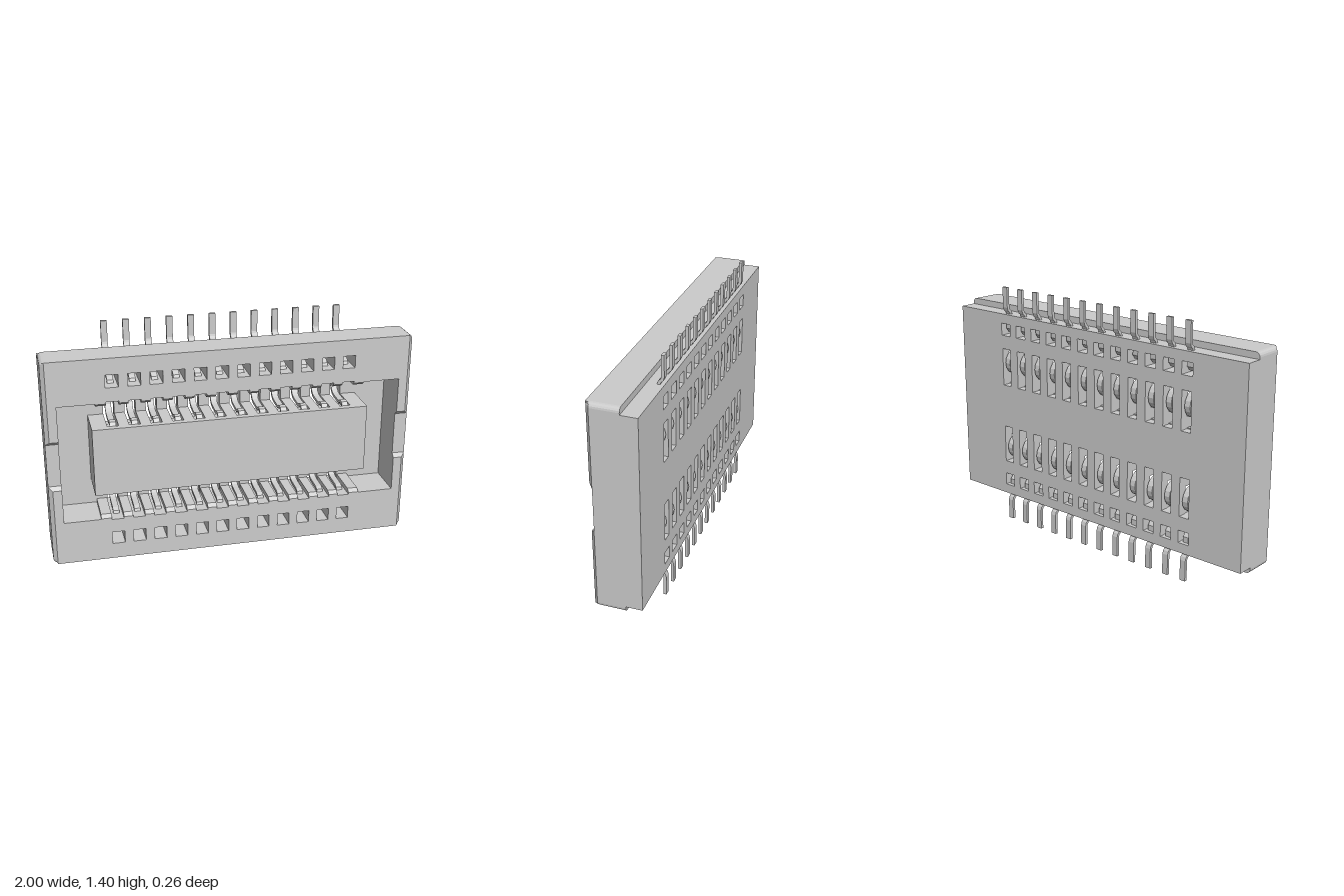
import * as THREE from 'three';

// Local frame: y is measured from the middle height of the connector.
const MID_Y = 0.7, COUNT = 12, PITCH = 0.1164, SLOT = 0.033;
const columns = Array.from({ length: COUNT }, (_, i) => (i - (COUNT - 1) / 2) * PITCH);
const material = new THREE.MeshStandardMaterial({ color: 0xcccccc });

const toShape = (pts) => new THREE.Shape(pts.map(([x, y]) => new THREE.Vector2(x, y)));
const rect = (x0, y0, x1, y1) => [[x0, y0], [x1, y0], [x1, y1], [x0, y1]];
const turned = (pts) => pts.map(([x, y]) => [-x, -y]);

// Upper cavity wall from left to right, with a slot for every contact
function combWall() {
  const pts = [[-0.93, 0.335], [-0.73, 0.335], [-0.73, 0.315]];
  for (const x of columns) {
    pts.push([x - SLOT, 0.315], [x - SLOT, 0.342], [x + SLOT, 0.342], [x + SLOT, 0.315]);
  }
  pts.push([0.73, 0.315], [0.73, 0.335], [0.93, 0.335]);
  return pts;
}

// Quarter-round corner points about (cx, cy)
function corner(cx, cy, r, start) {
  return [0, 1, 2, 3, 4].map((i) => {
    const a = start + (i / 4) * Math.PI / 2;
    return [cx + r * Math.cos(a), cy + r * Math.sin(a)];
  });
}

// Extrude a layer between two depths
function layer(name, outline, holes, z0, z1) {
  const shape = toShape(outline);
  holes.forEach((h) => shape.holes.push(toShape(h)));
  const geo = new THREE.ExtrudeGeometry(shape, { depth: z1 - z0, bevelEnabled: false });
  geo.translate(0, 0, z0);
  const mesh = new THREE.Mesh(geo, material);
  mesh.name = name;
  return mesh;
}

// Front rim half: slope the ends, the notch sides and the lip of the cavity
function chamferRim(geo, zFront) {
  const p = geo.attributes.position;
  for (let i = 0; i < p.count; i++) {
    if (p.getZ(i) < zFront - 1e-4) continue;
    const x = p.getX(i), y = p.getY(i);
    p.setX(i, Math.sign(x) * Math.min(Math.abs(x), 0.978));
    if (Math.abs(y - 0.12) < 1e-4) p.setY(i, 0.14);
    if (Math.abs(y - 0.315) < 1e-4) p.setY(i, 0.332);
  }
  geo.computeVertexNormals();
}

// Bent metal strip: a (z, y) centre line thickened and given a width
function contactGeometry() {
  const path = [[-0.122, 0.7], [-0.122, 0.585], [-0.117, 0.57], [-0.105, 0.56], [-0.1, 0.545],
    [-0.1, 0.46], [-0.09, 0.445], [0.04, 0.44], [0.058, 0.43], [0.065, 0.415],
    [0.065, 0.35], [0.058, 0.333], [0.04, 0.325]];
  // U-shaped spring below the cavity
  for (let i = 0; i <= 8; i++) {
    const a = (i / 8) * Math.PI;
    path.push([-0.05 - 0.065 * Math.sin(a), 0.257 + 0.065 * Math.cos(a)]);
  }
  // Contact bump beside the island
  path.push([0.03, 0.188], [0.06, 0.203], [0.08, 0.2], [0.098, 0.18]);
  const pts = path.map(([z, y]) => new THREE.Vector2(z, y));
  const side = (s) => pts.map((p, i) => {
    const a = pts[Math.max(i - 1, 0)], b = pts[Math.min(i + 1, pts.length - 1)];
    const t = b.clone().sub(a).normalize();
    return new THREE.Vector2(p.x - t.y * s, p.y + t.x * s);
  });
  const shape = new THREE.Shape([...side(0.008), ...side(-0.008).reverse()]);
  const width = 0.034;
  const geo = new THREE.ExtrudeGeometry(shape, { depth: width, bevelEnabled: false });
  geo.translate(0, 0, -width / 2);
  geo.rotateY(-Math.PI / 2);
  return geo;
}

export function createModel() {
  const model = new THREE.Group();
  model.name = 'boardConnector';
  const body = new THREE.Group();
  body.name = 'housing';
  body.position.y = MID_Y;
  model.add(body);

  const wall = combWall();
  const cavity = [...wall, ...turned(wall)];
  const upperWindows = columns.map((x) => rect(x - 0.034, 0.42, x + 0.034, 0.49));
  const windows = [...upperWindows, ...upperWindows.map(turned)];
  const upperSlots = columns.map((x) => rect(x - 0.03, 0.125, x + 0.03, 0.342));
  const slots = [...upperSlots, ...upperSlots.map(turned)];

  // Stepped housing from back to front
  const inner = rect(-1, -0.545, 1, 0.545);
  const r = 0.025;
  const outer = [
    ...corner(1 - r, 0.58 - r, r, 0), ...corner(-1 + r, 0.58 - r, r, Math.PI / 2),
    ...corner(-1 + r, -0.58 + r, r, Math.PI), ...corner(1 - r, -0.58 + r, r, Math.PI * 1.5),
  ];
  body.add(layer('backPlate', inner, [...windows, ...slots], -0.13, -0.08));
  body.add(layer('rearFrame', inner, [cavity, ...windows], -0.08, -0.04));
  body.add(layer('frontFrame', outer, [cavity, ...windows], -0.04, 0.113));

  // Two rim halves leave a notch at each end
  const rimOutline = [[-1, 0.12], [-0.93, 0.12], ...wall, [0.93, 0.12], [1, 0.12],
    ...corner(1 - r, 0.58 - r, r, 0), ...corner(-1 + r, 0.58 - r, r, Math.PI / 2)];
  const upperRim = layer('upperRim', rimOutline, upperWindows, 0.113, 0.135);
  chamferRim(upperRim.geometry, 0.135);
  const lowerRim = upperRim.clone();
  lowerRim.name = 'lowerRim';
  lowerRim.rotation.z = Math.PI;
  body.add(upperRim, lowerRim);

  // Central island with grooves behind the contacts
  const edge = [[-0.755, 0.19]];
  for (const x of columns) {
    edge.push([x - 0.03, 0.19], [x - 0.03, 0.13], [x + 0.03, 0.13], [x + 0.03, 0.19]);
  }
  edge.push([0.755, 0.19]);
  body.add(layer('islandCore', [...edge, ...turned(edge)], [], -0.08, 0.1));
  body.add(layer('islandCap', rect(-0.755, -0.19, 0.755, 0.19), [], 0.1, 0.135));

  // Two mirrored rows of contacts
  const geo = contactGeometry();
  for (const [name, turn] of [['upperContacts', 0], ['lowerContacts', Math.PI]]) {
    const row = new THREE.Group();
    row.name = name;
    row.position.y = MID_Y;
    row.rotation.z = turn;
    for (const x of columns) {
      const contact = new THREE.Mesh(geo, material);
      contact.name = 'contact';
      contact.position.x = x;
      row.add(contact);
    }
    model.add(row);
  }
  return model;
}
